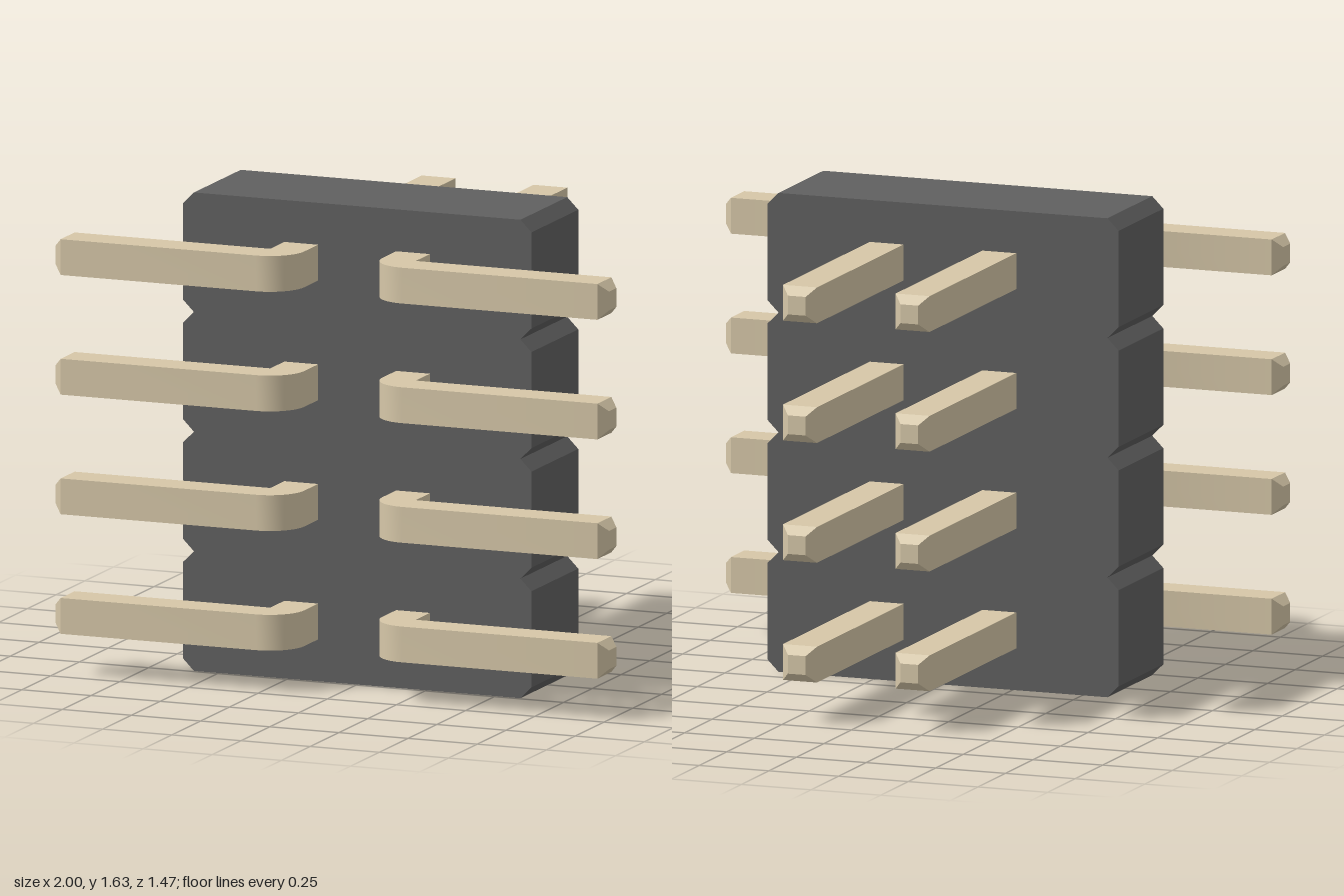
import * as THREE from 'three';
import { toCreasedNormals } from 'three/addons/utils/BufferGeometryUtils.js';

const ROWS = 4, PITCH = 0.4075, HALF_WIDTH = 0.63, CHAMFER = 0.04;
const BACK = 0.083, FRONT = 0.49;

// Housing: plate outline with chamfered corners and a V notch between rows
function housingGeometry() {
  const side = [];
  for (let i = 0; i < ROWS; i++) {
    const y = i * PITCH, top = y + PITCH;
    side.push([HALF_WIDTH - CHAMFER, y], [HALF_WIDTH, y + CHAMFER], [HALF_WIDTH, top - CHAMFER]);
  }
  side.push([HALF_WIDTH - CHAMFER, ROWS * PITCH]);
  const mirrored = side.map(([x, y]) => [-x, y]).reverse();
  const shape = new THREE.Shape([...side, ...mirrored].map(([x, y]) => new THREE.Vector2(x, y)));
  const geometry = new THREE.ExtrudeGeometry(shape, { depth: FRONT - BACK, bevelEnabled: false });
  return geometry.translate(0, 0, BACK);
}

// Pin: square section swept forward, round a bend and out to the side, tapered at both ends
function pinGeometry() {
  const half = 0.061, tip = 0.032, pivotX = 0.264, pivotZ = 0.612, bendSteps = 10;
  const sections = [
    { x: 0.202, z: -0.735, angle: 0, half: tip },
    { x: 0.202, z: -0.705, angle: 0, half },
  ];
  for (let i = 0; i <= bendSteps; i++) {
    const angle = (i / bendSteps) * Math.PI / 2, r = half + 0.001;
    sections.push({ x: pivotX - r * Math.cos(angle), z: pivotZ + r * Math.sin(angle), angle, half });
  }
  const last = sections[sections.length - 1];
  sections.push({ ...last, x: 0.97 }, { ...last, x: 1, half: tip });

  const positions = [], index = [];
  for (const s of sections) {
    for (const [n, v] of [[1, 1], [1, -1], [-1, -1], [-1, 1]]) {
      positions.push(s.x - n * s.half * Math.cos(s.angle), v * s.half, s.z + n * s.half * Math.sin(s.angle));
    }
  }
  for (let i = 0; i < sections.length - 1; i++) {
    for (let j = 0; j < 4; j++) {
      const a = i * 4 + j, b = i * 4 + (j + 1) % 4;
      index.push(a, b, b + 4, a, b + 4, a + 4);
    }
  }
  const e = (sections.length - 1) * 4;
  index.push(0, 2, 1, 0, 3, 2, e, e + 1, e + 2, e, e + 2, e + 3);

  const geometry = new THREE.BufferGeometry();
  geometry.setAttribute('position', new THREE.Float32BufferAttribute(positions, 3));
  geometry.setIndex(index);
  return toCreasedNormals(geometry, 0.5);
}

export function createModel() {
  const model = new THREE.Group();
  model.name = 'pinHeader';

  const plastic = new THREE.MeshStandardMaterial({ color: 0x606060 });
  const metal = new THREE.MeshStandardMaterial({ color: 0xd6c7a8 });

  const housing = new THREE.Mesh(housingGeometry(), plastic);
  housing.name = 'housing';
  model.add(housing);

  // Two columns of pins; a half turn about z gives the opposite column
  const geometry = pinGeometry();
  for (const side of ['left', 'right']) {
    const column = new THREE.Group();
    column.name = side + 'Pins';
    for (let i = 0; i < ROWS; i++) {
      const pin = new THREE.Mesh(geometry, metal);
      pin.name = side + 'Pin' + (i + 1);
      pin.position.y = (i + 0.5) * PITCH;
      if (side === 'right') pin.rotation.z = Math.PI;
      column.add(pin);
    }
    model.add(column);
  }
  return model;
}
